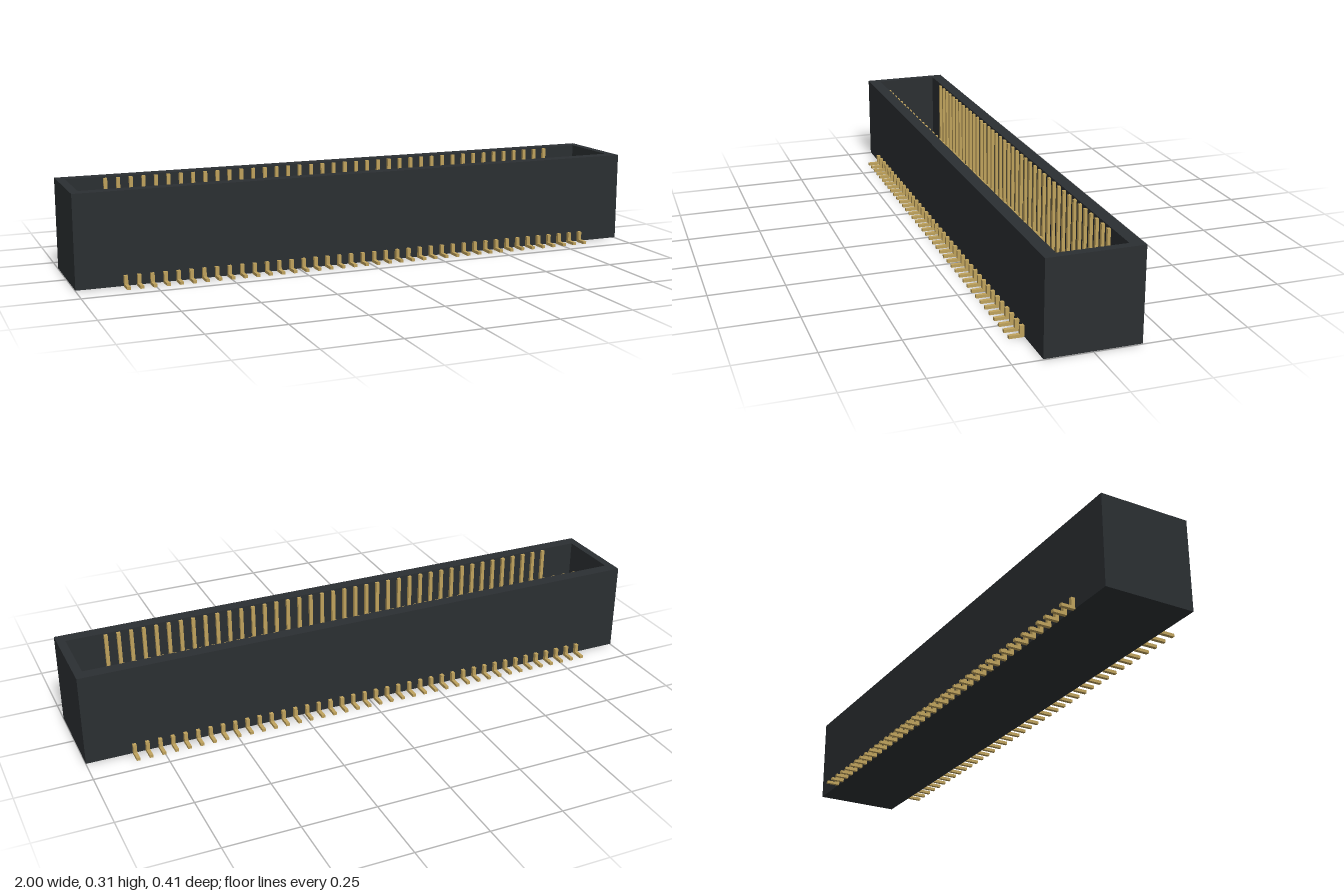
import * as THREE from 'three';

const PINS = 40, SPAN = 1.68, PIN_W = 0.012;
const BASE = 0.002, FLOOR = 0.04, TOP = 0.312;
const OUT_X = 1, OUT_Z = 0.155, IN_X = 0.972, IN_Z = 0.112;

// Traces a centred rectangle onto a Shape or Path
function rect(path, hx, hz) {
  path.moveTo(-hx, -hz);
  path.lineTo(hx, -hz);
  path.lineTo(hx, hz);
  path.lineTo(-hx, hz);
  path.closePath();
  return path;
}

export function createModel() {
  const model = new THREE.Group();
  model.name = 'pinHeaderConnector';
  const plastic = new THREE.MeshStandardMaterial({ color: 0x2b2f32 });
  const gold = new THREE.MeshStandardMaterial({ color: 0xbfa25c });

  const add = (parent, geometry, material, name) => {
    const mesh = new THREE.Mesh(geometry, material);
    mesh.name = name;
    parent.add(mesh);
    return mesh;
  };

  // Open-topped housing: a rectangular wall ring around a recessed floor
  const ring = rect(new THREE.Shape(), OUT_X, OUT_Z);
  ring.holes.push(rect(new THREE.Path(), IN_X, IN_Z));
  const wall = new THREE.ExtrudeGeometry(ring, { depth: TOP - BASE, bevelEnabled: false });
  wall.rotateX(-Math.PI / 2);
  add(model, wall, plastic, 'housingWalls').position.y = BASE;

  const floor = new THREE.BoxGeometry(IN_X * 2, FLOOR - BASE, IN_Z * 2);
  add(model, floor, plastic, 'housingFloor').position.y = (FLOOR + BASE) / 2;

  // L-shaped solder leg outside the wall, profile drawn in (z, y)
  const profile = new THREE.Shape([
    [OUT_Z, 0], [0.203, 0], [0.203, 0.01], [0.168, 0.01], [0.168, 0.038], [OUT_Z, 0.038],
  ].map(([z, y]) => new THREE.Vector2(z, y)));
  const leg = new THREE.ExtrudeGeometry(profile, { depth: PIN_W, bevelEnabled: false });
  leg.translate(0, 0, -PIN_W / 2);
  leg.rotateY(-Math.PI / 2);

  // Contact strip lying against the inner wall
  const contactTop = TOP - 0.004;
  const contact = new THREE.BoxGeometry(PIN_W, contactTop - FLOOR, 0.01);
  contact.translate(0, (contactTop + FLOOR) / 2, IN_Z - 0.005);

  // Two facing rows of pins
  for (const [name, turn] of [['frontPinRow', 0], ['backPinRow', Math.PI]]) {
    const row = new THREE.Group();
    row.name = name;
    row.rotation.y = turn;
    for (let i = 0; i < PINS; i++) {
      const x = -SPAN / 2 + (SPAN * i) / (PINS - 1);
      add(row, leg, gold, 'solderLeg').position.x = x;
      add(row, contact, gold, 'contact').position.x = x;
    }
    model.add(row);
  }
  return model;
}
